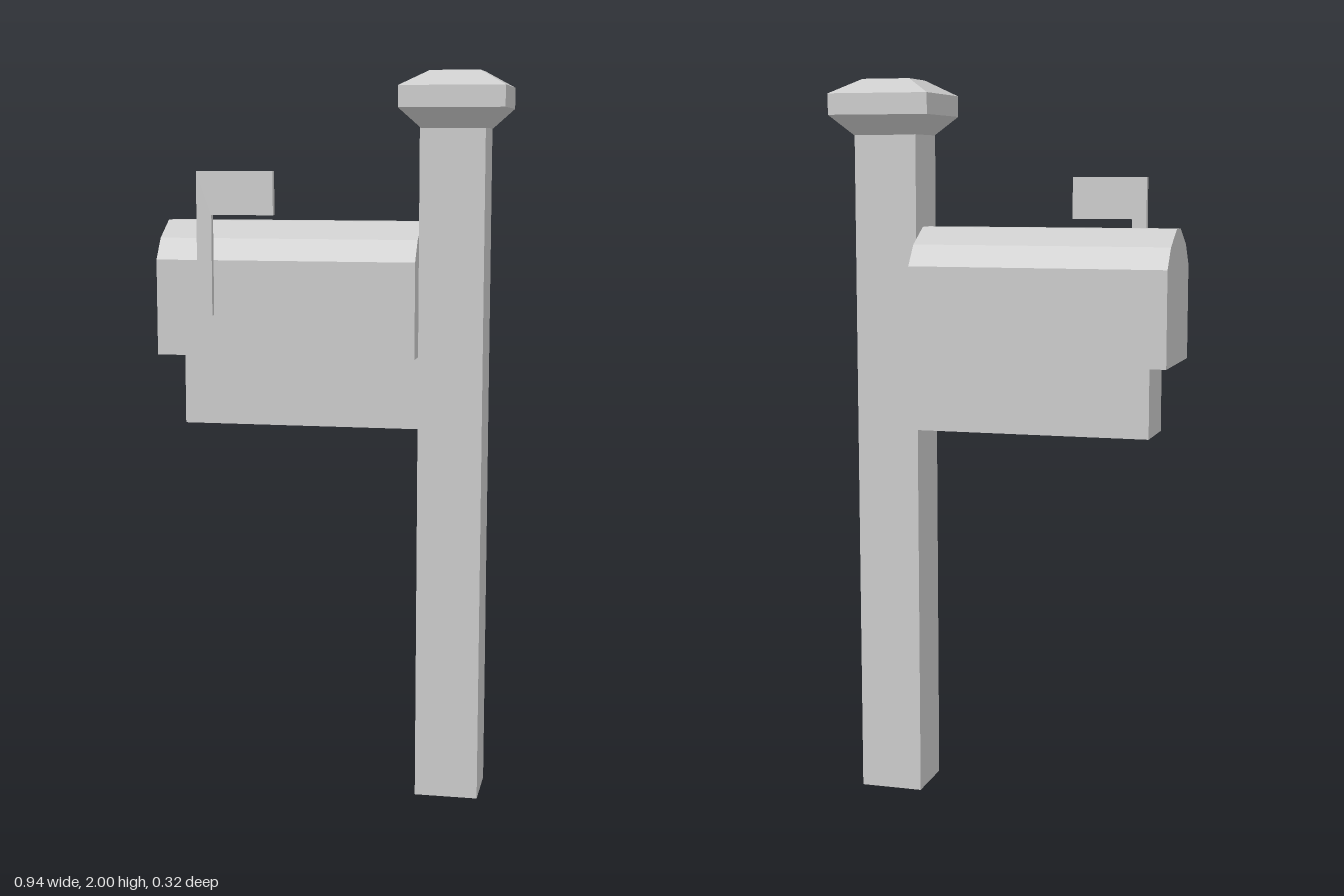
import * as THREE from 'three';

const CZ = -0.01; // shared centre plane of post, box and cap

export function createModel() {
  const group = new THREE.Group();
  const material = new THREE.MeshStandardMaterial({ color: 0xcccccc, flatShading: true });

  const add = (name, geometry, x = 0, y = 0, z = 0) => {
    const mesh = new THREE.Mesh(geometry, material);
    mesh.name = name;
    mesh.position.set(x, y, z);
    group.add(mesh);
    return mesh;
  };
  const extrude = (points, depth) => new THREE.ExtrudeGeometry(
    new THREE.Shape(points.map(([x, y]) => new THREE.Vector2(x, y))),
    { depth, bevelEnabled: false });

  // Post with the flush support arm, as one continuous piece of timber
  add('postAndArm', extrude([
    [0.238, 0], [0.413, 0], [0.413, 1.85], [0.238, 1.85],
    [0.238, 1.24], [-0.413, 1.24], [-0.413, 1.042], [0.238, 1.042],
  ], 0.17), 0, 0, CZ - 0.085);

  // Four-sided post cap: half-width and height pairs, bottom to top
  const capProfile = [[0, 1.849], [0.087, 1.849], [0.141, 1.902], [0.141, 1.959], [0.067, 2], [0, 2]]
    .map(([half, y]) => new THREE.Vector2(half * Math.SQRT2, y));
  const capGeometry = new THREE.LatheGeometry(capProfile, 4, Math.PI / 4).toNonIndexed();
  capGeometry.computeVertexNormals();
  add('postCap', capGeometry, 0.328, 0, CZ).scale.z = 0.98;

  // Letter box with a faceted, rounded roof, running along x
  const half = [[0.153, 1.239], [0.153, 1.498], [0.109, 1.555], [0.027, 1.6]];
  const mirrored = half.map(([z, y]) => [-z, y]).reverse();
  const boxGeometry = extrude([...half, ...mirrored], 0.709);
  boxGeometry.rotateY(Math.PI / 2);
  add('letterBox', boxGeometry, -0.471, 0, CZ);

  // Signal flag on the front of the box
  add('signalFlag', extrude([
    [-0.352, 1.35], [-0.311, 1.35], [-0.311, 1.62],
    [-0.142, 1.62], [-0.142, 1.736], [-0.352, 1.736],
  ], 0.019), 0, 0, 0.143);

  return group;
}
